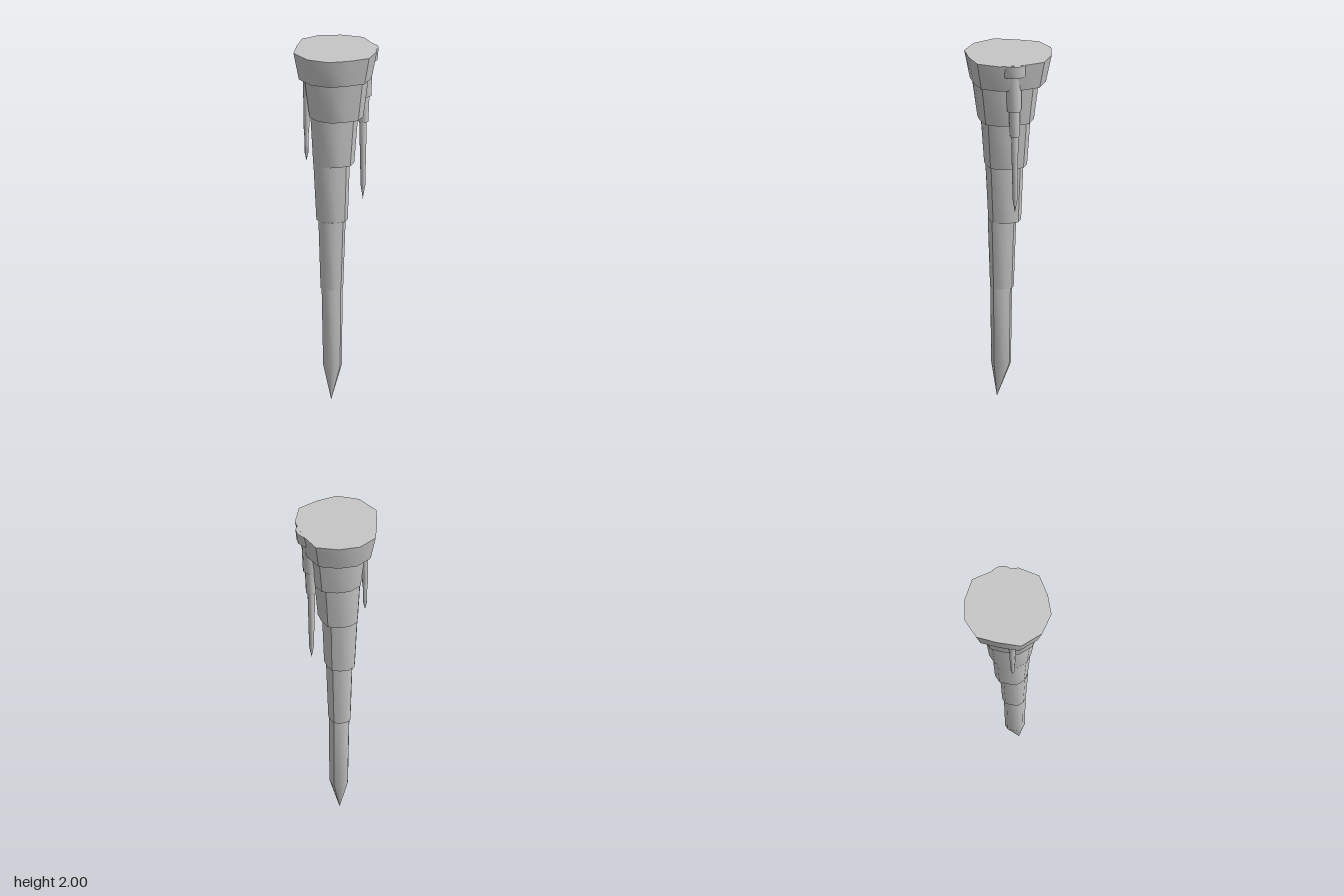
import * as THREE from 'three';
import { toCreasedNormals } from 'three/addons/utils/BufferGeometryUtils.js';

// Irregular twelve-sided outline of the rock at full size, as [x, z]
const OUTLINE = [
  [0.225, 0.0], [0.2, 0.132], [0.12, 0.229], [0, 0.238], [-0.115, 0.223], [-0.207, 0.138],
  [-0.24, 0.007], [-0.18, -0.11], [-0.115, -0.21], [0, -0.24], [0.113, -0.204], [0.213, -0.127],
];
// Round outline of radius 1 for the small side spikes
const ROUND = Array.from({ length: 12 }, (_, i) => {
  const a = (i / 12) * Math.PI * 2;
  return [Math.cos(a), Math.sin(a)];
});

// Closed solid through rings [y, size, centreX, centreZ]; the first and last rings are capped,
// and a last ring of size 0 makes a point
function taperedSolid(outline, rings) {
  const n = outline.length;
  const pos = [];
  const point = ([y, s, cx, cz], i) => {
    const [x, z] = outline[i % n];
    return [cx + x * s, y, cz + z * s];
  };
  const first = rings[0];
  const last = rings[rings.length - 1];
  for (let i = 0; i < n; i++) {
    pos.push(first[2], first[0], first[3], ...point(first, i + 1), ...point(first, i));
    for (let r = 0; r < rings.length - 1; r++) {
      const a = point(rings[r], i), b = point(rings[r], i + 1);
      const c = point(rings[r + 1], i), d = point(rings[r + 1], i + 1);
      pos.push(...a, ...b, ...c);
      if (rings[r + 1][1] > 0) pos.push(...b, ...d, ...c);
    }
    if (last[1] > 0) pos.push(last[2], last[0], last[3], ...point(last, i), ...point(last, i + 1));
  }
  const geo = new THREE.BufferGeometry();
  geo.setAttribute('position', new THREE.Float32BufferAttribute(pos, 3));
  return toCreasedNormals(geo, 0.76);
}

export function createModel() {
  const stone = new THREE.MeshStandardMaterial({ color: 0xc6c6c6 });
  stone.name = 'light grey stone';
  const model = new THREE.Group();
  model.name = 'stalactite';

  // One group per hanging spike, one mesh per stepped tier
  const addSpike = (name, outline, tiers) => {
    const group = new THREE.Group();
    group.name = name;
    tiers.forEach((rings, i) => {
      const mesh = new THREE.Mesh(taperedSolid(outline, rings), stone);
      mesh.name = `${name}Tier${i + 1}`;
      group.add(mesh);
    });
    model.add(group);
  };

  // Main spike: six tiers, the lowest ending in a point
  addSpike('mainSpike', OUTLINE, [
    [[2, 1, 0, 0], [1.845, 0.87, 0, 0.002]],
    [[1.845, 0.765, 0.002, 0.018], [1.625, 0.645, 0.002, 0.018]],
    [[1.625, 0.57, -0.009, 0.015], [1.355, 0.49, -0.012, 0.015]],
    [[1.355, 0.435, -0.025, 0.018], [1.03, 0.375, -0.022, 0.018]],
    [[1.03, 0.325, -0.027, 0.032], [0.64, 0.27, -0.028, 0.033]],
    [[0.64, 0.25, -0.028, 0.037], [0.2, 0.225, -0.026, 0.039], [0, 0, -0.04, 0.06]],
  ]);

  // Longer side spike with a thick root
  addSpike('longSideSpike', ROUND, [
    [[1.999, 0.08, 0.16, 0.033], [1.93, 0.074, 0.16, 0.033]],
    [[1.93, 0.047, 0.161, 0.033], [1.72, 0.04, 0.16, 0.031]],
    [[1.72, 0.032, 0.159, 0.028], [1.57, 0.027, 0.158, 0.027]],
    [[1.57, 0.021, 0.156, 0.025], [1.2, 0.013, 0.156, 0.024], [1.125, 0, 0.155, 0.024]],
  ]);

  // Shorter side spike
  addSpike('shortSideSpike', ROUND, [
    [[1.9, 0.027, -0.152, -0.015], [1.74, 0.022, -0.153, -0.015]],
    [[1.74, 0.019, -0.156, -0.015], [1.54, 0.015, -0.157, -0.015]],
    [[1.54, 0.013, -0.157, -0.015], [1.41, 0.01, -0.157, -0.015], [1.365, 0, -0.157, -0.015]],
  ]);

  return model;
}
